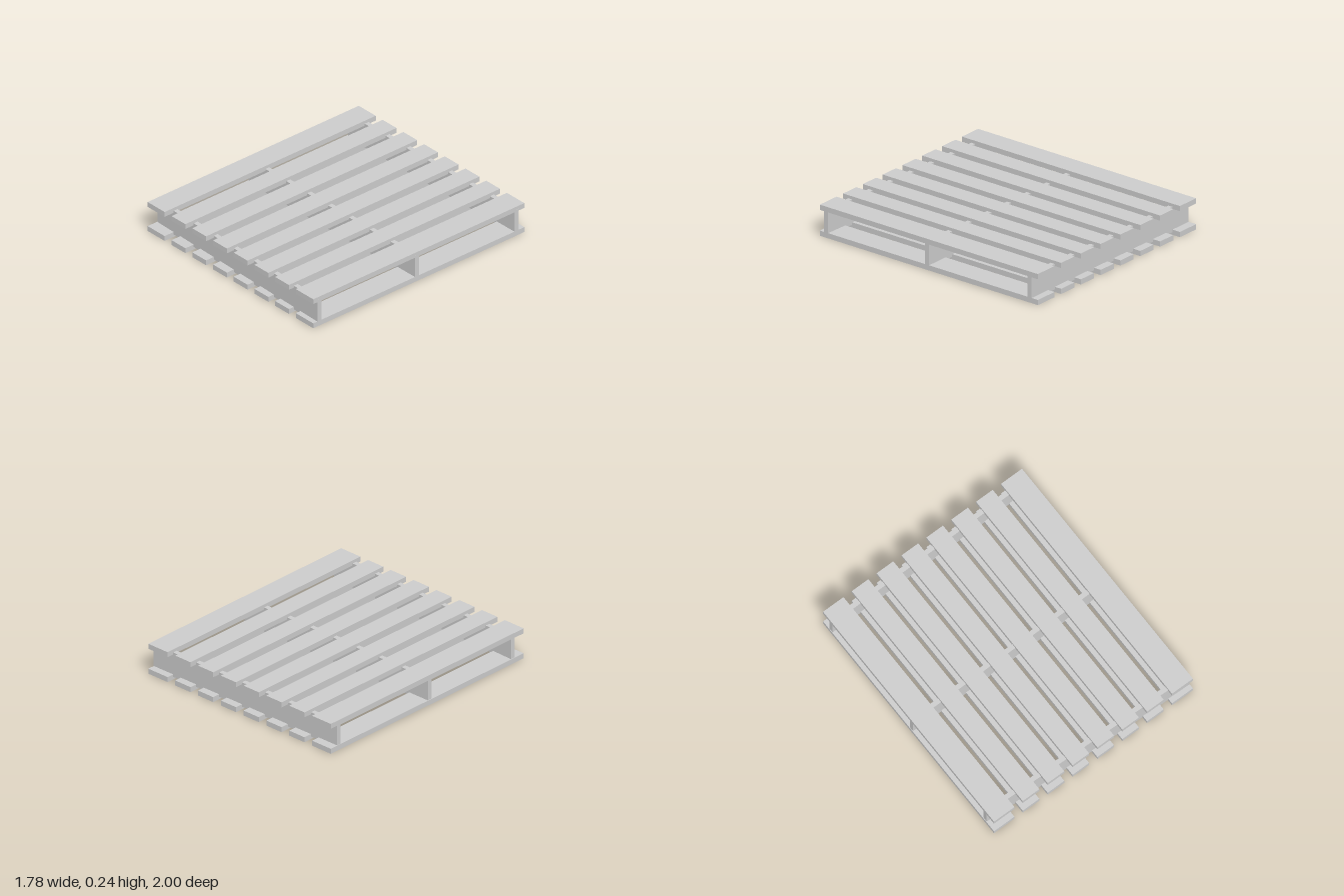
import * as THREE from 'three';

const material = new THREE.MeshStandardMaterial({ color: 0xcccccc, flatShading: true });

function board(name, w, h, d, x, y, z) {
  const mesh = new THREE.Mesh(new THREE.BoxGeometry(w, h, d), material);
  mesh.name = name;
  mesh.position.set(x, y, z);
  return mesh;
}

export function createModel() {
  const model = new THREE.Group();
  model.name = 'pallet';

  // Top and bottom decks: wide outer slats, narrower slats between
  const slats = [[-0.893, -0.71], [-0.636, -0.487], [-0.413, -0.264], [-0.19, -0.041],
    [0.032, 0.181], [0.255, 0.404], [0.477, 0.626], [0.70, 0.888]];
  for (const [name, y] of [['topSlat', 0.22], ['bottomSlat', 0.02]]) {
    for (const [x0, x1] of slats) {
      model.add(board(name, x1 - x0, 0.04, 2, (x0 + x1) / 2, y, 0));
    }
  }

  // Upright stringers, each slightly skewed: z at the -x end and at the +x end
  const stringers = [['frontStringer', 0.891, 0.943], ['middleStringer', 0.029, 0.017], ['backStringer', -0.912, -0.925]];
  for (const [name, zLeft, zRight] of stringers) {
    const bar = board(name, 1.778, 0.196, 0.037, 0, 0.118, (zLeft + zRight) / 2);
    bar.rotation.y = -Math.atan2(zRight - zLeft, 1.778);
    model.add(bar);
  }
  return model;
}
